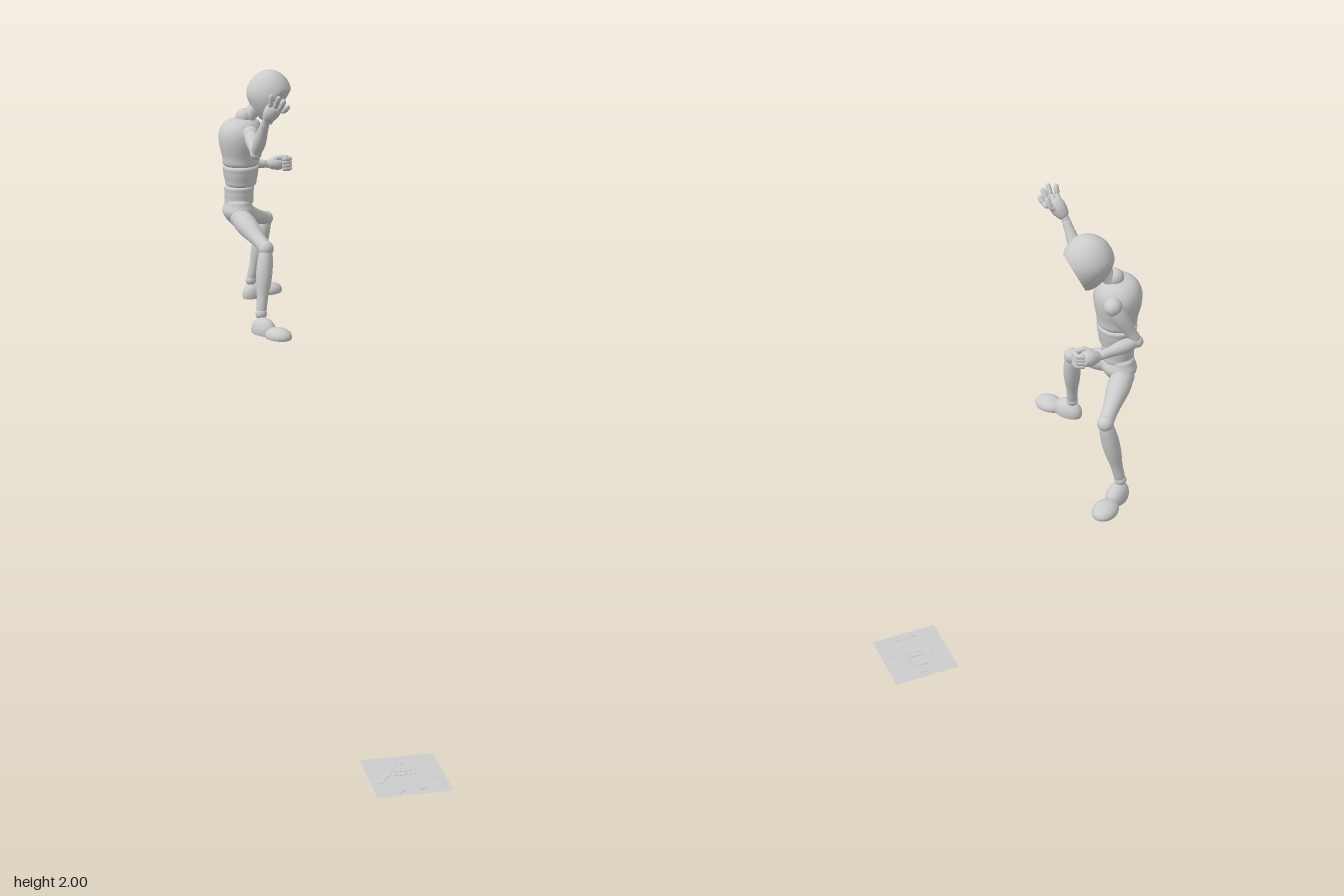
import * as THREE from 'three';
import { toCreasedNormals } from 'three/addons/utils/BufferGeometryUtils.js';

const grey = new THREE.MeshStandardMaterial({ color: 0xcccccc });
const thin = new THREE.MeshStandardMaterial({ color: 0xcccccc, side: THREE.DoubleSide });
const V = (p) => new THREE.Vector3(...p);
const UP = new THREE.Vector3(0, 1, 0);

export function createModel() {
  const root = new THREE.Group();

  function add(name, geometry, parent = root, material = grey) {
    const mesh = new THREE.Mesh(geometry, material);
    mesh.name = name;
    parent.add(mesh);
    return mesh;
  }

  function ball(name, p, r, scale = [1, 1, 1], parent = root) {
    const m = add(name, new THREE.SphereGeometry(r, 24, 16), parent);
    m.position.set(...p);
    m.scale.set(...scale);
    return m;
  }

  // Turned shape from a smoothed [radius, height] profile
  function turned(points, segments = 28) {
    const curve = new THREE.SplineCurve(points.map((p) => new THREE.Vector2(...p)));
    const pts = curve.getPoints(24).map((p) => new THREE.Vector2(Math.max(p.x, 0), p.y));
    return new THREE.LatheGeometry(pts, segments);
  }

  // Limb between two joints; radii are spaced evenly along it, with closed ends
  function limb(name, a, b, radii, parent = root) {
    const from = V(a), dir = V(b).sub(from), len = dir.length();
    const n = radii.length - 1;
    const profile = [[0, 0], ...radii.map((r, i) => [r, len * (0.03 + 0.94 * i / n)]), [0, len]];
    const m = add(name, turned(profile, 20), parent);
    m.position.copy(from);
    m.quaternion.setFromUnitVectors(UP, dir.normalize());
    return m;
  }

  // Torso section: flattened turned shape, facing local +z
  function section(name, p, profile, depth, yaw) {
    const m = add(name, turned(profile, 36));
    m.position.set(...p);
    m.scale.z = depth;
    m.rotation.y = yaw;
  }
  section('chest', [-0.2, 1.715, -0.3],
    [[0, 0], [0.055, 0.002], [0.063, 0.03], [0.073, 0.075], [0.07, 0.11], [0.047, 0.137], [0, 0.147]], 0.9, 1.28);
  section('abdomen', [-0.201, 1.653, -0.3],
    [[0, 0], [0.046, 0.002], [0.054, 0.02], [0.059, 0.045], [0.056, 0.064], [0, 0.068]], 0.9, 1.4);
  section('waist', [-0.207, 1.598, -0.3],
    [[0, 0], [0.042, 0.002], [0.046, 0.02], [0.047, 0.04], [0.044, 0.056], [0, 0.06]], 0.95, 1.5);
  section('pelvis', [-0.21, 1.528, -0.3],
    [[0, 0], [0.026, 0.006], [0.054, 0.03], [0.064, 0.05], [0.056, 0.07], [0.047, 0.085], [0, 0.09]], 0.75, 1.57);

  // Neck
  ball('neckJoint', [-0.188, 1.862, -0.3], 0.026);
  limb('neck', [-0.19, 1.845, -0.3], [-0.145, 1.9, -0.293], [0.022, 0.021, 0.02]);

  // Head: egg with a narrow chin and a keeled, cut-back face
  const headGeo = new THREE.SphereGeometry(1, 64, 48);
  const hp = headGeo.attributes.position;
  for (let i = 0; i < hp.count; i++) {
    const y = hp.getY(i);
    const taper = y < 0.2 ? 1 - 0.3 * Math.pow((0.2 - y) / 1.2, 1.5) : 1;
    const x = hp.getX(i) * taper;
    const z = hp.getZ(i) * taper + (y < 0 ? -y * 0.2 : 0);
    const face = 0.84 + 0.45 * (y - 0.2) - 0.35 * Math.abs(x);
    hp.setXYZ(i, x, y, Math.min(z, face));
  }
  const head = add('head', toCreasedNormals(headGeo, 0.4));
  head.position.set(-0.114, 1.921, -0.292);
  head.scale.set(0.064, 0.081, 0.07);
  head.rotation.set(0.15, 1.05, 0, 'YXZ');

  // Arms: rear hand lower, lead hand raised
  const arms = [
    { side: 'right', shoulder: [-0.182, 1.822, -0.222], elbow: [-0.192, 1.79, -0.085], wrist: [-0.172, 1.897, -0.02] },
    { side: 'left', shoulder: [-0.15, 1.82, -0.372], elbow: [-0.215, 1.708, -0.395], wrist: [-0.1, 1.695, -0.402] },
  ];
  for (const { side, shoulder, elbow, wrist } of arms) {
    ball(side + 'Shoulder', shoulder, 0.025);
    limb(side + 'UpperArm', shoulder, elbow, [0.017, 0.022, 0.02, 0.016, 0.014]);
    ball(side + 'Elbow', elbow, 0.017);
    limb(side + 'Forearm', elbow, wrist, [0.013, 0.019, 0.018, 0.014, 0.011]);
    ball(side + 'Wrist', wrist, 0.012);
  }

  // Finger made of jointed links
  function finger(name, points, r, parent) {
    for (let i = 1; i < points.length; i++) {
      limb(name, points[i - 1], points[i], [r * 0.85, r, r * 0.85], parent);
      ball(name + 'Joint', points[i], r * 0.85, [1, 1, 1], parent);
    }
  }

  // Open hand, fingers fanned out
  const openHand = new THREE.Group();
  openHand.name = 'rightHand';
  root.add(openHand);
  limb('palm', [-0.172, 1.9, -0.018], [-0.148, 1.945, 0.012], [0.013, 0.021, 0.023, 0.018], openHand);
  [[-0.166, 1.975, 0.03], [-0.148, 1.972, 0.046], [-0.132, 1.962, 0.045], [-0.12, 1.945, 0.038]].forEach((tip, i) => {
    const base = [-0.164 + i * 0.011, 1.94 - i * 0.004, 0.008];
    const mid = V(base).lerp(V(tip), 0.5).add(new THREE.Vector3(0, -0.003, 0.004)).toArray();
    finger('finger', [base, mid, tip], 0.0075, openHand);
  });
  finger('thumb', [[-0.15, 1.925, -0.01], [-0.132, 1.935, -0.01], [-0.125, 1.955, 0]], 0.008, openHand);

  // Closed hand, fingers curled inward
  const fist = new THREE.Group();
  fist.name = 'leftHand';
  root.add(fist);
  limb('palm', [-0.098, 1.695, -0.402], [-0.048, 1.7, -0.405], [0.013, 0.02, 0.023, 0.018], fist);
  for (let i = 0; i < 4; i++) {
    const y = 1.712 - i * 0.01;
    finger('finger', [[-0.052, y, -0.412], [-0.033, y, -0.404], [-0.033, y, -0.384], [-0.052, y, -0.379]], 0.0075, fist);
  }
  finger('thumb', [[-0.082, 1.708, -0.4], [-0.064, 1.718, -0.387], [-0.044, 1.716, -0.382]], 0.008, fist);

  // Foot piece: ellipsoid with a flat sole
  function footPiece(name, x, z, yaw, size) {
    const g = new THREE.SphereGeometry(1, 28, 20);
    const p = g.attributes.position;
    for (let i = 0; i < p.count; i++) p.setY(i, Math.max(p.getY(i), -0.3) + 0.3);
    const m = add(name, toCreasedNormals(g, 0.7));
    m.position.set(x, 1.255, z);
    m.scale.set(size[0], size[1] / 1.3, size[2]);
    m.rotation.y = yaw;
  }

  // Legs in a wide stance
  const legs = [
    { side: 'right', hip: [-0.21, 1.562, -0.255], knee: [-0.16, 1.5, -0.108], ankle: [-0.184, 1.312, -0.068],
      heel: [-0.18, -0.05], toe: [-0.146, 0.006] },
    { side: 'left', hip: [-0.205, 1.562, -0.34], knee: [-0.097, 1.512, -0.458], ankle: [-0.145, 1.312, -0.467],
      heel: [-0.133, -0.475], toe: [-0.076, -0.518] },
  ];
  for (const { side, hip, knee, ankle, heel, toe } of legs) {
    const yaw = Math.atan2(toe[0] - heel[0], toe[1] - heel[1]);
    ball(side + 'Hip', hip, 0.032);
    limb(side + 'Thigh', hip, knee, [0.029, 0.032, 0.027, 0.022, 0.019]);
    ball(side + 'Knee', knee, 0.023);
    limb(side + 'Shin', knee, ankle, [0.018, 0.024, 0.023, 0.017, 0.014]);
    ball(side + 'Ankle', ankle, 0.017);
    footPiece(side + 'Heel', heel[0], heel[1], yaw, [0.029, 0.05, 0.046]);
    footPiece(side + 'Toe', toe[0], toe[1], yaw, [0.035, 0.032, 0.046]);
  }

  // Square floor panel with a faint relief of a jointed figure
  const panel = new THREE.Group();
  panel.name = 'floorPanel';
  panel.position.set(0.15, 0, 0.438);
  root.add(panel);
  add('panelSheet', new THREE.PlaneGeometry(0.23, 0.234).rotateX(-Math.PI / 2), panel, thin);

  function relief(name, x, z, w, d, turn = 0) {
    const m = add(name, new THREE.BoxGeometry(w, 0.001, d), panel);
    m.position.set(x, 0.0006, z);
    m.rotation.y = turn;
  }
  relief('reliefHead', 0, -0.079, 0.026, 0.03);
  relief('reliefChest', 0, -0.04, 0.05, 0.035);
  relief('reliefHips', 0, -0.006, 0.064, 0.008);
  for (const s of [-1, 1]) {
    relief('reliefArm', s * 0.052, -0.01, 0.007, 0.075, s * 0.62);
    relief('reliefHand', s * 0.08, 0.026, 0.012, 0.024, s * 0.62);
    relief('reliefLeg', s * 0.024, 0.046, 0.016, 0.08, s * 0.12);
    relief('reliefFoot', s * 0.031, 0.092, 0.024, 0.008);
  }
  return root;
}
